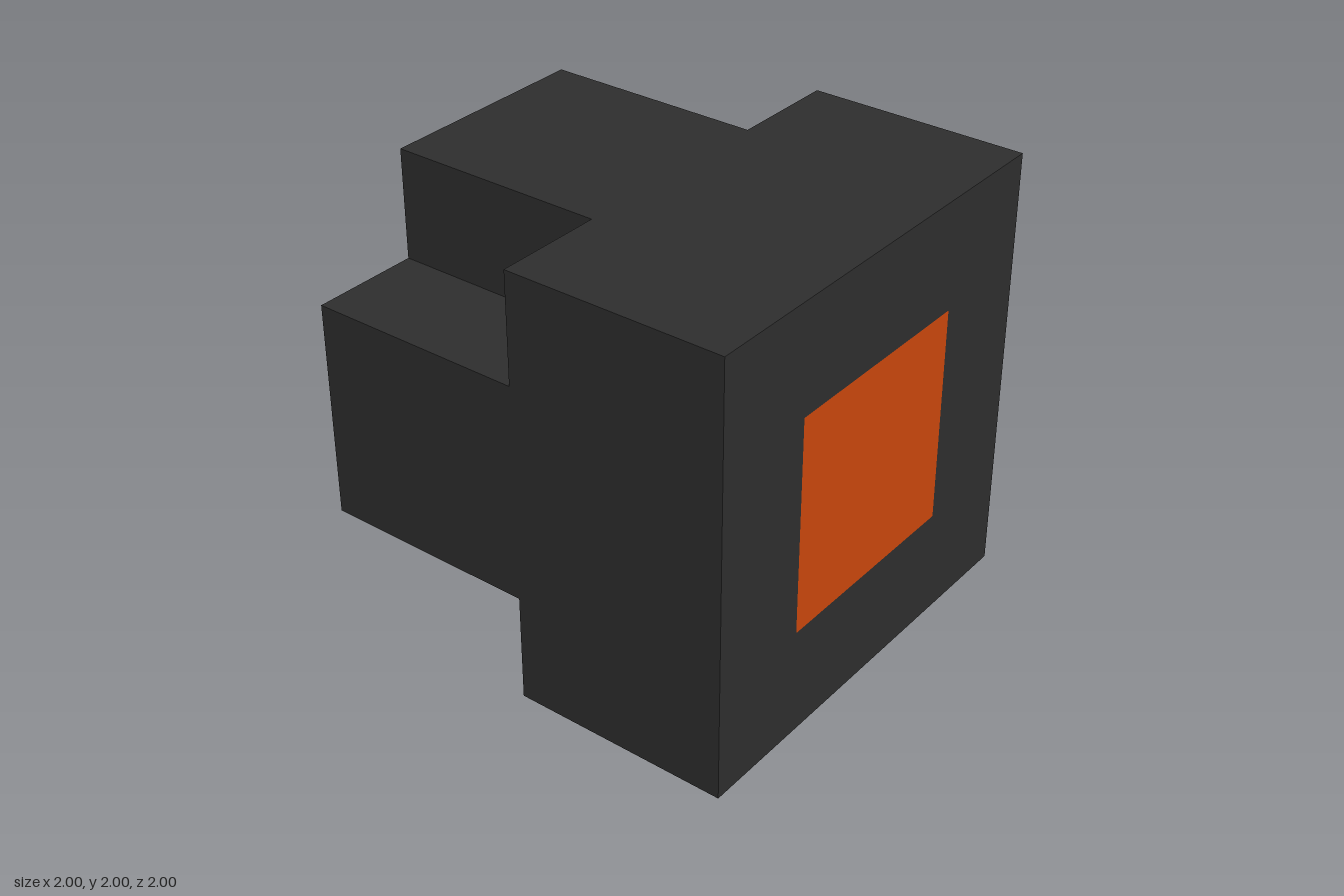
import * as THREE from 'three';

export function createModel() {
  const model = new THREE.Group();
  model.name = 'notchedCube';

  const charcoal = new THREE.MeshStandardMaterial({ color: 0x2d2d2d });
  charcoal.name = 'charcoal';
  const orange = new THREE.MeshStandardMaterial({ color: 0xc8460c });
  orange.name = 'orange';

  const add = (name, geometry, material, x, y, z) => {
    const mesh = new THREE.Mesh(geometry, material);
    mesh.name = name;
    mesh.position.set(x, y, z);
    model.add(mesh);
  };

  // Square outline centred on the origin
  const square = (Type, h) => new Type([
    new THREE.Vector2(-h, -h), new THREE.Vector2(h, -h),
    new THREE.Vector2(h, h), new THREE.Vector2(-h, h),
  ]);

  // Front half: a square block with an opening for the core
  const frame = square(THREE.Shape, 1);
  frame.holes.push(square(THREE.Path, 0.5));
  add('frontBlock', new THREE.ExtrudeGeometry(frame, { depth: 1, bevelEnabled: false }), charcoal, 0, 1, 0);

  // Core running front to back, with orange end faces
  const sides = Array(4).fill(charcoal);
  add('core', new THREE.BoxGeometry(1, 1, 2), [...sides, orange, orange], 0, 1, 0);

  // Rear half: four arms forming a cross around the core
  for (const s of [-1, 1]) {
    add(s > 0 ? 'leftArm' : 'rightArm', new THREE.BoxGeometry(0.5, 1, 1), charcoal, s * 0.75, 1, -0.5);
    add(s > 0 ? 'topArm' : 'bottomArm', new THREE.BoxGeometry(1, 0.5, 1), charcoal, 0, 1 + s * 0.75, -0.5);
  }

  return model;
}
